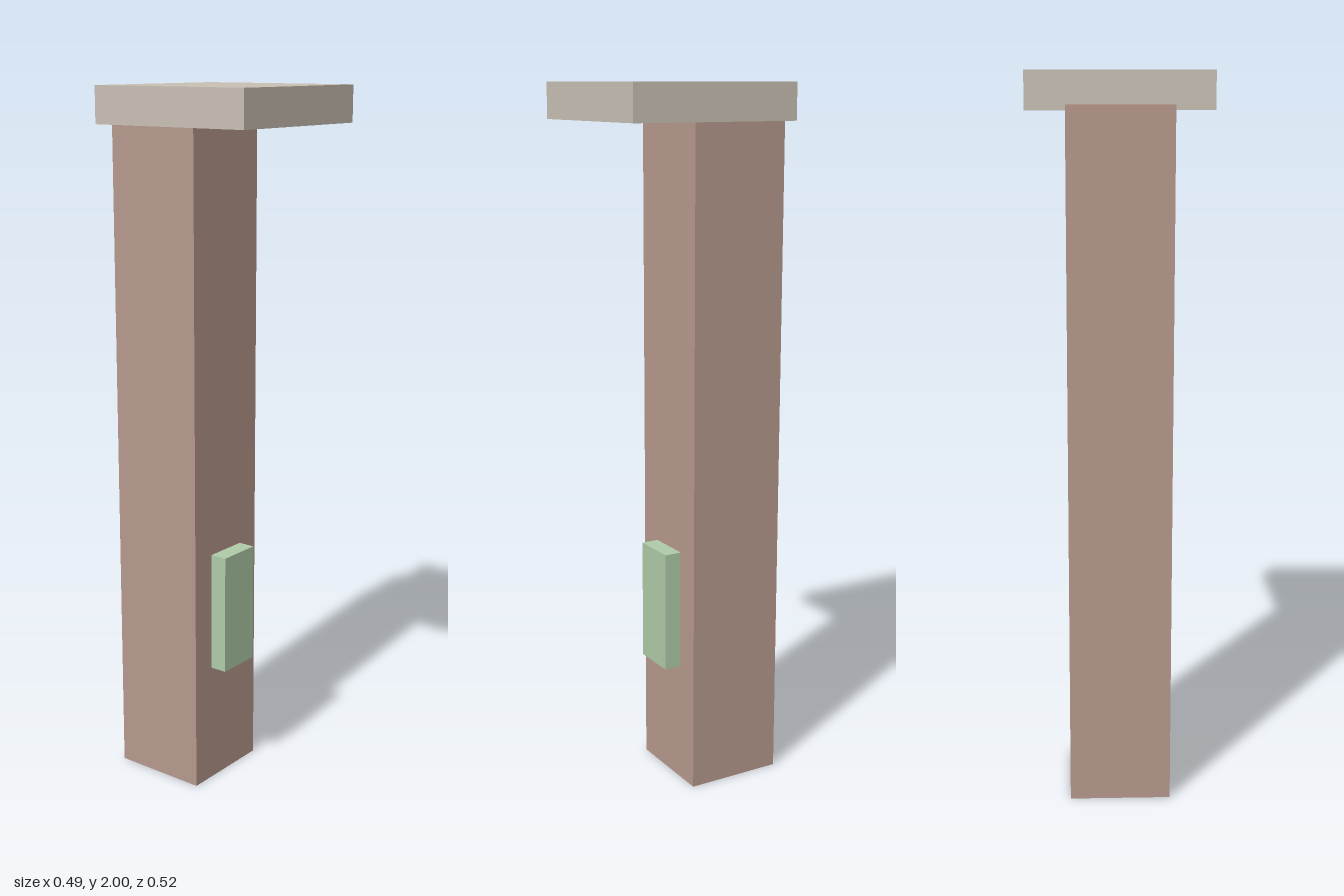
import * as THREE from 'three';

const material = (name, color) => {
  const m = new THREE.MeshStandardMaterial({ color });
  m.name = name;
  return m;
};

// Box given by its minimum and maximum corners
function box(name, min, max, mat) {
  const size = max.map((v, i) => v - min[i]);
  const mesh = new THREE.Mesh(new THREE.BoxGeometry(...size), mat);
  mesh.position.set(...max.map((v, i) => (v + min[i]) / 2));
  mesh.name = name;
  return mesh;
}

export function createModel() {
  const brick = material('dusty brick', 0xb7998d);
  const stone = material('pale stone', 0xc9c0b4);
  const green = material('soft green', 0xafcba8);

  const group = new THREE.Group();
  group.name = 'pillar';
  group.add(
    // Square shaft, its top reaching slightly into the cap
    box('shaft', [-0.14, 0, -0.262], [0.14, 1.915, 0.02], brick),
    // Flat cap, set forward of the shaft
    box('cap', [-0.244, 1.9, -0.227], [0.244, 2, 0.262], stone),
    // Raised panel on the front
    box('frontPanel', [-0.067, 0.352, 0.015], [0.067, 0.7, 0.07], green),
  );
  return group;
}
